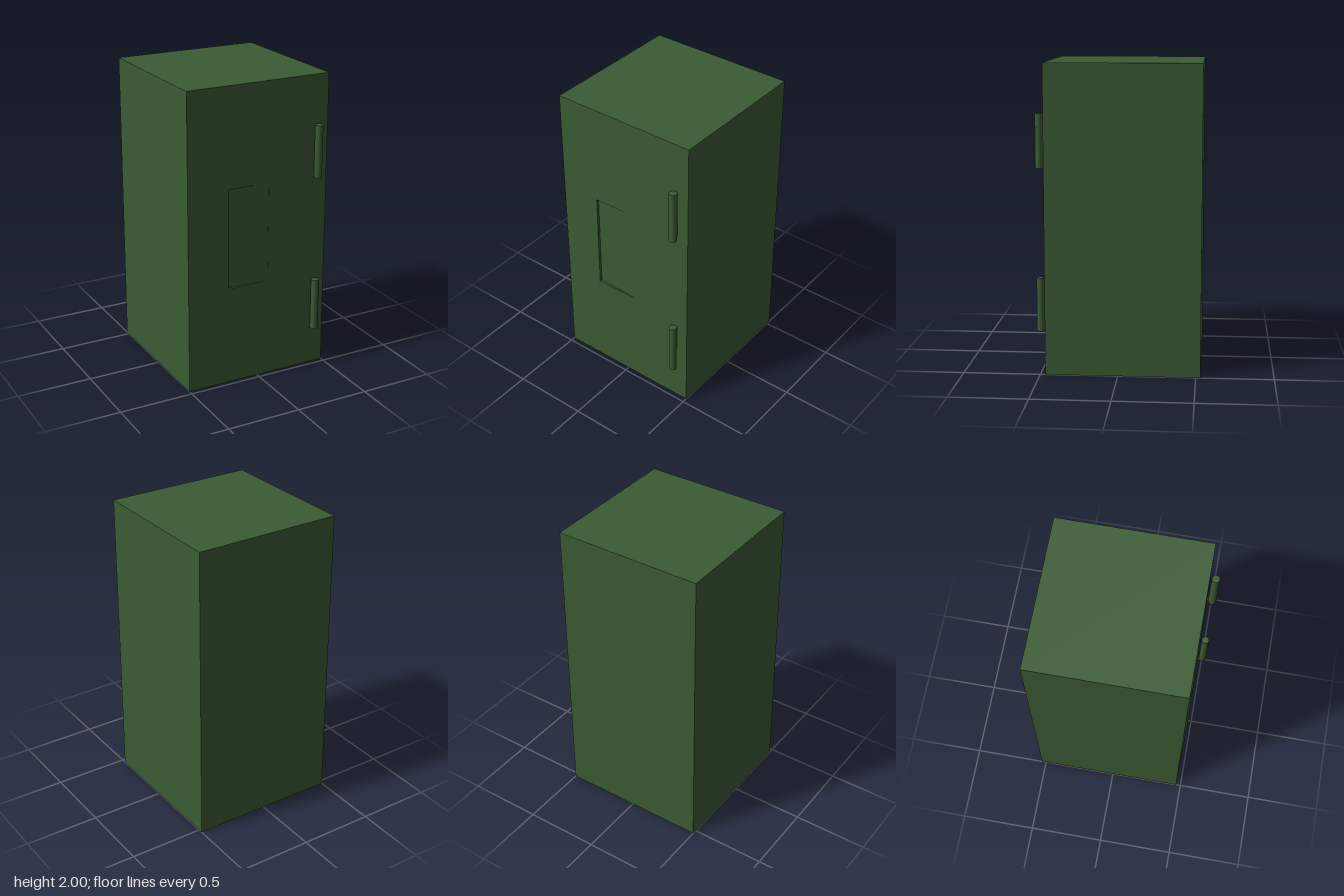
import * as THREE from 'three';

const material = new THREE.MeshStandardMaterial({ color: 0x3b5b33 });

// Rectangle corners, counter-clockwise from the front, with a depth for each side
function ring(x0, x1, y0, y1, zLeft, zRight) {
  return [[x0, y0, zLeft], [x1, y0, zRight], [x1, y1, zRight], [x0, y1, zLeft]];
}

// Flat-faced solid: bridges each ring to the next and caps both ends
function loftRings(rings) {
  const points = [];
  const first = rings[0], last = rings[rings.length - 1];
  for (let r = 0; r < rings.length - 1; r++) {
    const a = rings[r], b = rings[r + 1];
    for (let i = 0; i < 4; i++) {
      const j = (i + 1) % 4;
      points.push(a[i], a[j], b[i], a[j], b[j], b[i]);
    }
  }
  points.push(first[0], first[2], first[1], first[0], first[3], first[2]);
  points.push(last[0], last[1], last[2], last[0], last[2], last[3]);
  const geometry = new THREE.BufferGeometry();
  geometry.setAttribute('position', new THREE.Float32BufferAttribute(points.flat(), 3));
  geometry.computeVertexNormals();
  return geometry;
}

export function createModel() {
  const group = new THREE.Group();

  // Cabinet, its front swelling slightly toward a recessed, sloping handle grip
  const cabinet = new THREE.Mesh(loftRings([
    ring(-0.5, 0.5, 0, 2, -0.53, -0.53),
    ring(-0.5, 0.5, 0, 2, 0.468, 0.468),
    ring(-0.22, 0.07, 0.67, 1.34, 0.478, 0.473),
    ring(-0.22, 0.07, 0.67, 1.34, 0.46, 0.472),
  ]), material);
  cabinet.name = 'cabinetWithHandleRecess';
  group.add(cabinet);

  // Two upright hinge pins in front of the door
  const pin = new THREE.CylinderGeometry(0.026, 0.026, 0.35, 32);
  for (const [name, y] of [['lowerHinge', 0.445], ['upperHinge', 1.505]]) {
    const hinge = new THREE.Mesh(pin, material);
    hinge.name = name;
    hinge.position.set(0.414, y, 0.504);
    group.add(hinge);
  }

  return group;
}
